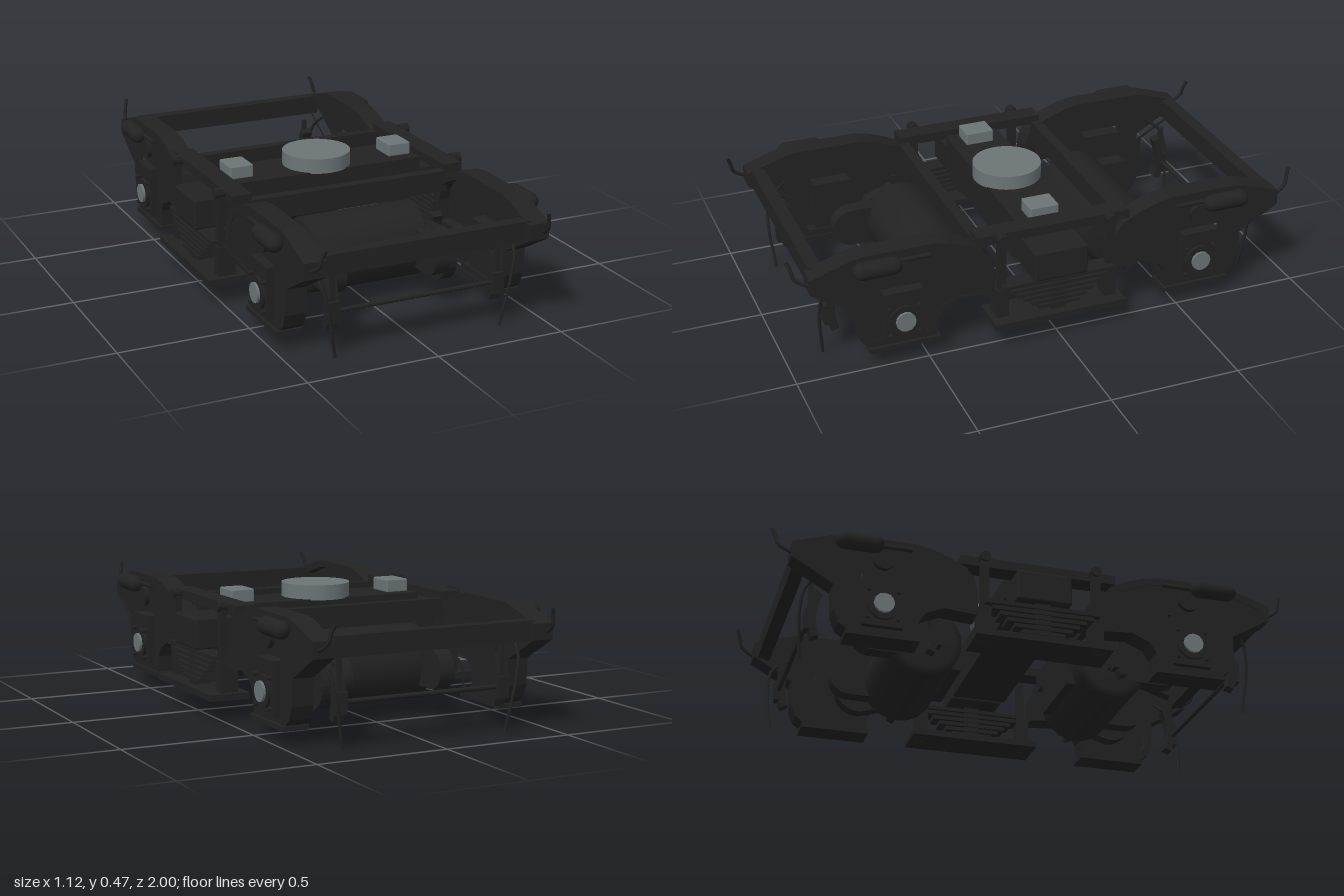
import * as THREE from 'three';
import { RoundedBoxGeometry } from 'three/addons/geometries/RoundedBoxGeometry.js';

export function createModel() {
  const model = new THREE.Group();
  model.name = 'railTruck';
  const dark = new THREE.MeshStandardMaterial({ name: 'darkIron', color: 0x222222 });
  const grey = new THREE.MeshStandardMaterial({ name: 'greySteel', color: 0x6b7476 });

  const add = (name, geo, mat = dark) => {
    const m = new THREE.Mesh(geo, mat);
    m.name = name;
    model.add(m);
    return m;
  };
  // box from centre and size
  const box = (name, [x, y, z], [w, h, d], mat) =>
    add(name, new THREE.BoxGeometry(w, h, d), mat).position.set(x, y, z);
  // cylinder along a chosen axis
  const cyl = (name, axis, [x, y, z], r, len, mat, sides = 32) => {
    const g = new THREE.CylinderGeometry(r, r, len, sides);
    if (axis === 'x') g.rotateZ(Math.PI / 2);
    if (axis === 'z') g.rotateX(Math.PI / 2);
    add(name, g, mat).position.set(x, y, z);
  };
  // round bar through points
  const rod = (name, pts, r) => add(name, new THREE.TubeGeometry(
    new THREE.CatmullRomCurve3(pts.map(p => new THREE.Vector3(...p))), 14, r, 8));
  // plate drawn in (z, y), extruded from x0 to x1
  const plate = (name, pts, x0, x1, holes = [], mat = dark) => {
    const shape = new THREE.Shape(pts.map(p => new THREE.Vector2(...p)));
    holes.forEach(h => shape.holes.push(new THREE.Path(h.map(p => new THREE.Vector2(...p)))));
    const g = new THREE.ExtrudeGeometry(shape, { depth: Math.abs(x1 - x0), bevelEnabled: false });
    g.rotateY(-Math.PI / 2);
    g.translate(Math.max(x0, x1), 0, 0);
    return add(name, g, mat);
  };

  const AZ = 0.59, AY = 0.18; // axle centre
  const outline = [
    [0.925, 0.34], [0.925, 0.4], [0.85, 0.425], [0.77, 0.45], [0.73, 0.457], [0.47, 0.457],
    [0.41, 0.445], [0.34, 0.42], [0.28, 0.39], [0.25, 0.35], [0.235, 0.3], [0.235, 0.2],
    [0.36, 0.21], [0.43, 0.18], [0.455, 0.14], [0.46, 0.075], [0.71, 0.075], [0.745, 0.1],
    [0.765, 0.15], [0.77, 0.25], [0.83, 0.285],
  ];
  const inset = outline.map(([z, y]) => [0.58 + (z - 0.58) * 0.88, 0.26 + (y - 0.26) * 0.86]);
  const opening = [[0.51, 0.105], [0.67, 0.105], [0.67, 0.307], [0.51, 0.307]];
  // curved band around the axle, on the outer (+1) or inner (-1) side
  const arcBand = (r0, r1, side) => {
    const pts = [];
    for (let i = 0; i <= 8; i++) {
      const a = -0.36 + i * 0.1;
      pts.push([AZ + side * r1 * Math.cos(a), AY + r1 * Math.sin(a)]);
    }
    for (let i = 8; i >= 0; i--) {
      const a = -0.36 + i * 0.1;
      pts.push([AZ + side * r0 * Math.cos(a), AY + r0 * Math.sin(a)]);
    }
    return pts;
  };

  for (const e of [1, -1]) {
    const flip = pts => pts.map(([z, y]) => [z * e, y]);

    // beams across the truck
    box('endBeam', [0, 0.373, e * 0.885], [0.82, 0.075, 0.05]);
    box('transom', [0, 0.375, e * 0.285], [0.82, 0.08, 0.04]);

    // traction motor with chamfered ends
    const prof = [[0, -0.24], [0.115, -0.24], [0.143, -0.222], [0.143, 0.222], [0.115, 0.24], [0, 0.24]];
    const motor = new THREE.LatheGeometry(prof.map(p => new THREE.Vector2(...p)), 32);
    motor.rotateZ(-Math.PI / 2);
    add('motor', motor).position.set(0, 0.198, e * 0.37);
    box('motorNose', [0, 0.2, e * 0.24], [0.31, 0.15, 0.06]);
    for (const x of [-0.212, 0.207]) {
      cyl('axleBearing', 'x', [x, 0.2, e * 0.575], 0.075, 0.06);
      box('bearingArm', [x, 0.2, e * 0.5], [0.06, 0.15, 0.13]);
    }
    // gear case, a large and a small round joined together
    const gear = [];
    for (let i = 0; i <= 12; i++) {
      const a = -Math.PI / 2 + i * Math.PI / 12;
      gear.push([0.52 + 0.1 * Math.cos(a), AY + 0.1 * Math.sin(a)]);
    }
    for (let i = 0; i <= 12; i++) {
      const a = Math.PI / 2 + i * Math.PI / 12;
      gear.push([0.38 + 0.07 * Math.cos(a), 0.19 + 0.07 * Math.sin(a)]);
    }
    plate('gearCase', flip(gear), 0.235, 0.285);

    // brake cross rods
    cyl('brakeRod', 'x', [0, 0.167, e * 0.83], 0.009, 0.64, dark, 10);
    cyl('brakeRod', 'x', [0, 0.167, e * 0.355], 0.009, 0.64, dark, 10);

    for (const s of [1, -1]) {
      // side frame, a web with a rim
      plate('sideFrameRim', flip(outline), s * 0.395, s * 0.478, [flip(inset)]);
      plate('sideFrameWeb', flip(outline), s * 0.44, s * 0.475, [flip(opening)]);
      box('pedestalTie', [s * 0.44, 0.066, e * 0.585], [0.1, 0.018, 0.27]);

      // axle box with round cover
      box('axleBox', [s * 0.45, 0.196, e * AZ], [0.1, 0.2, 0.15]);
      cyl('coverRing', 'x', [s * 0.503, AY, e * AZ], 0.06, 0.015);
      cyl('axleCap', 'x', [s * 0.508, AY, e * AZ], 0.038, 0.026, grey, 12);
      for (const dy of [-1, 1]) for (const dz of [-1, 1])
        cyl('coverBolt', 'x', [s * 0.506, AY + dy * 0.055, e * AZ + dz * 0.055], 0.008, 0.02, dark, 8);

      // brake cylinder and its push rod
      const tank = new THREE.CapsuleGeometry(0.033, 0.115, 6, 20);
      tank.rotateX(Math.PI / 2);
      add('brakeCylinder', tank).position.set(s * 0.507, 0.417, e * 0.685);
      cyl('pushRod', 'z', [s * 0.49, 0.422, e * 0.55], 0.009, 0.13, dark, 8);
      cyl('frameBoss', 'x', [s * 0.482, 0.37, e * AZ], 0.04, 0.024);

      // brake shoes and hangers at both sides of the wheel space
      for (const [side, z] of [[1, 0.825], [-1, 0.355]]) {
        plate('brakeShoe', flip(arcBand(0.215, 0.245, side)), s * 0.305, s * 0.348);
        box('shoeHead', [s * 0.327, 0.165, e * z], [0.046, 0.08, 0.04]);
        box('shoeHanger', [s * 0.328, 0.25, e * z], [0.016, 0.14, 0.018]);
      }

      // guard iron and end hook
      rod('guardIron', [[s * 0.4, 0.34, e * 0.78], [s * 0.383, 0.28, e * 0.85],
        [s * 0.365, 0.2, e * 0.868], [s * 0.329, 0.005, e * 0.855]], 0.006);
      rod('endHook', [[s * 0.455, 0.365, e * 0.915], [s * 0.45, 0.378, e * 0.945],
        [s * 0.445, 0.4, e * 0.972], [s * 0.438, 0.435, e * 0.982], [s * 0.43, 0.465, e * 0.993]], 0.007);

      // bolster guide post
      box('guidePost', [s * 0.492, 0.265, e * 0.215], [0.025, 0.36, 0.032]);
      cyl('postPin', 'x', [s * 0.495, 0.43, e * 0.215], 0.02, 0.04, dark, 12);
      box('springSeat', [s * 0.475, 0.165, e * 0.215], [0.07, 0.12, 0.045]);
    }
  }

  // swinging bolster and centre pivot
  box('bolster', [0, 0.333, 0], [0.72, 0.165, 0.218]);
  box('bolsterTop', [0, 0.375, 0], [0.8, 0.08, 0.208]);
  cyl('centrePlate', 'y', [0, 0.441, 0], 0.132, 0.058, grey, 48);

  for (const s of [1, -1]) {
    add('sideBearer', new RoundedBoxGeometry(0.094, 0.052, 0.114, 2, 0.006), grey)
      .position.set(s * 0.335, 0.439, 0);
    box('frameTopRail', [s * 0.437, 0.422, 0], [0.078, 0.036, 0.6]);
    add('bolsterEnd', new RoundedBoxGeometry(0.16, 0.118, 0.21, 2, 0.008))
      .position.set(s * 0.47, 0.313, 0);
    // leaf spring pack above the spring plank
    for (let i = 0; i < 6; i++)
      box('springLeaf', [s * 0.495, 0.238 - i * 0.021, 0], [0.07, 0.015, 0.44 - i * 0.055]);
    box('springBuckle', [s * 0.495, 0.18, 0], [0.06, 0.15, 0.06]);
    box('springPlank', [s * 0.48, 0.098, 0], [0.155, 0.024, 0.52]);
  }
  return model;
}
